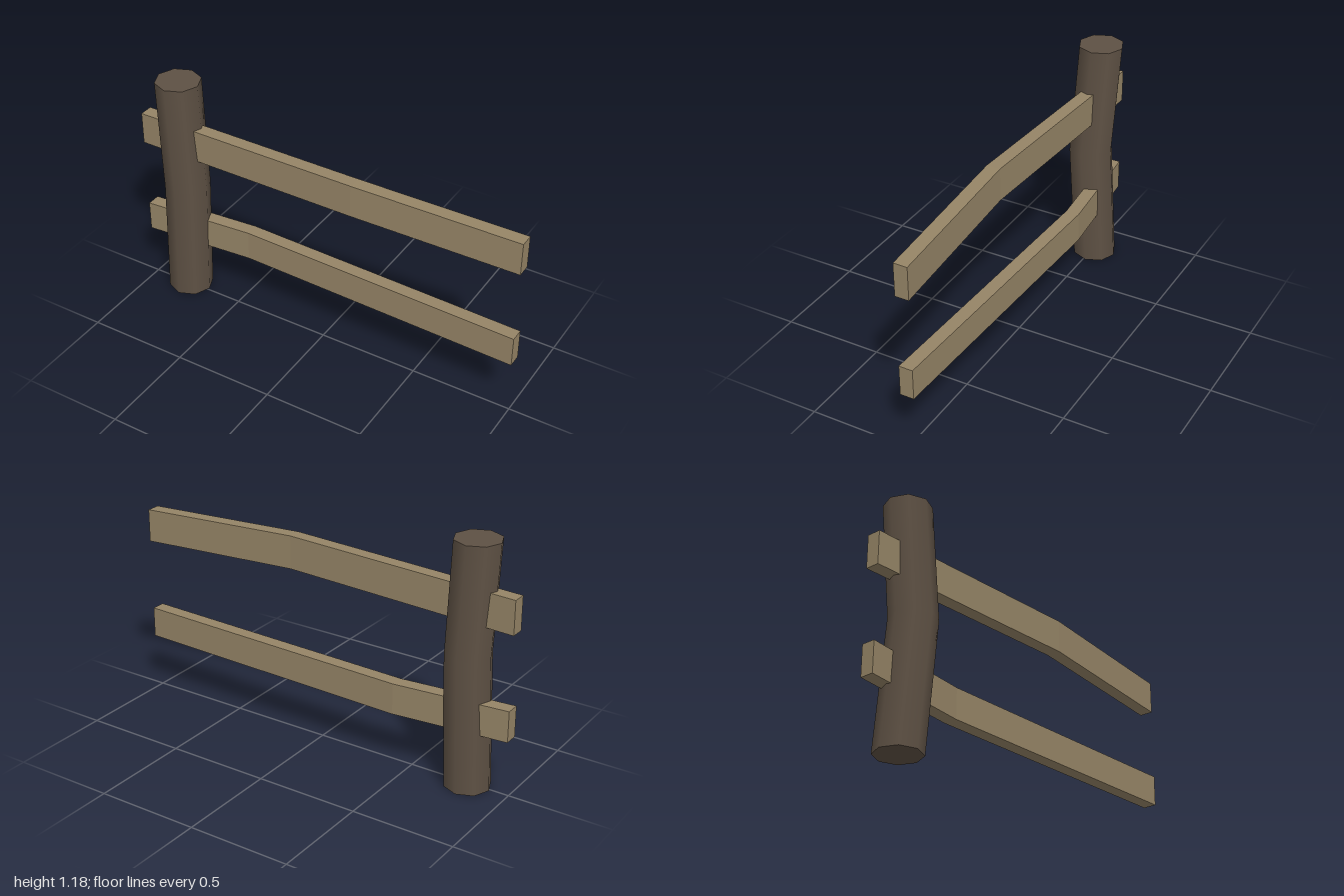
import * as THREE from 'three';

const postWood = new THREE.MeshStandardMaterial({ color: 0x5e5144 });
postWood.name = 'dark post wood';
const railWood = new THREE.MeshStandardMaterial({ color: 0x958466 });
railWood.name = 'pale rail wood';

// Eight-sided post whose middle ring is pushed off the axis
function makePost() {
  const height = 1.185;
  const geo = new THREE.CylinderGeometry(0.111, 0.111, height, 8, 2);
  const pos = geo.attributes.position;
  for (let i = 0; i < pos.count; i++) {
    if (Math.abs(pos.getY(i)) < 0.01) {
      pos.setXYZ(i, pos.getX(i) + 0.036, 0.04, pos.getZ(i) + 0.023);
    }
  }
  geo.translate(-0.797, height / 2, -0.011);
  const post = new THREE.Mesh(geo, postWood);
  post.name = 'post';
  return post;
}

// Plank with one bend: the middle section moves to bend.x and shifts in y and z
function makeRail(name, y, height, bend) {
  let geo = new THREE.BoxGeometry(2, height, 0.068, 2, 1, 1);
  const pos = geo.attributes.position;
  for (let i = 0; i < pos.count; i++) {
    if (Math.abs(pos.getX(i)) < 0.01) {
      pos.setXYZ(i, bend.x, pos.getY(i) + bend.y, pos.getZ(i) + bend.z);
    }
  }
  geo.translate(0, y, -0.007);
  geo = geo.toNonIndexed();
  geo.computeVertexNormals();
  const rail = new THREE.Mesh(geo, railWood);
  rail.name = name;
  return rail;
}

export function createModel() {
  const fence = new THREE.Group();
  fence.name = 'fence';
  fence.add(
    makePost(),
    makeRail('upperRail', 0.878, 0.163, { x: 0.18, y: 0.025, z: 0.039 }),
    makeRail('lowerRail', 0.362, 0.152, { x: -0.44, y: -0.003, z: -0.048 })
  );
  return fence;
}
